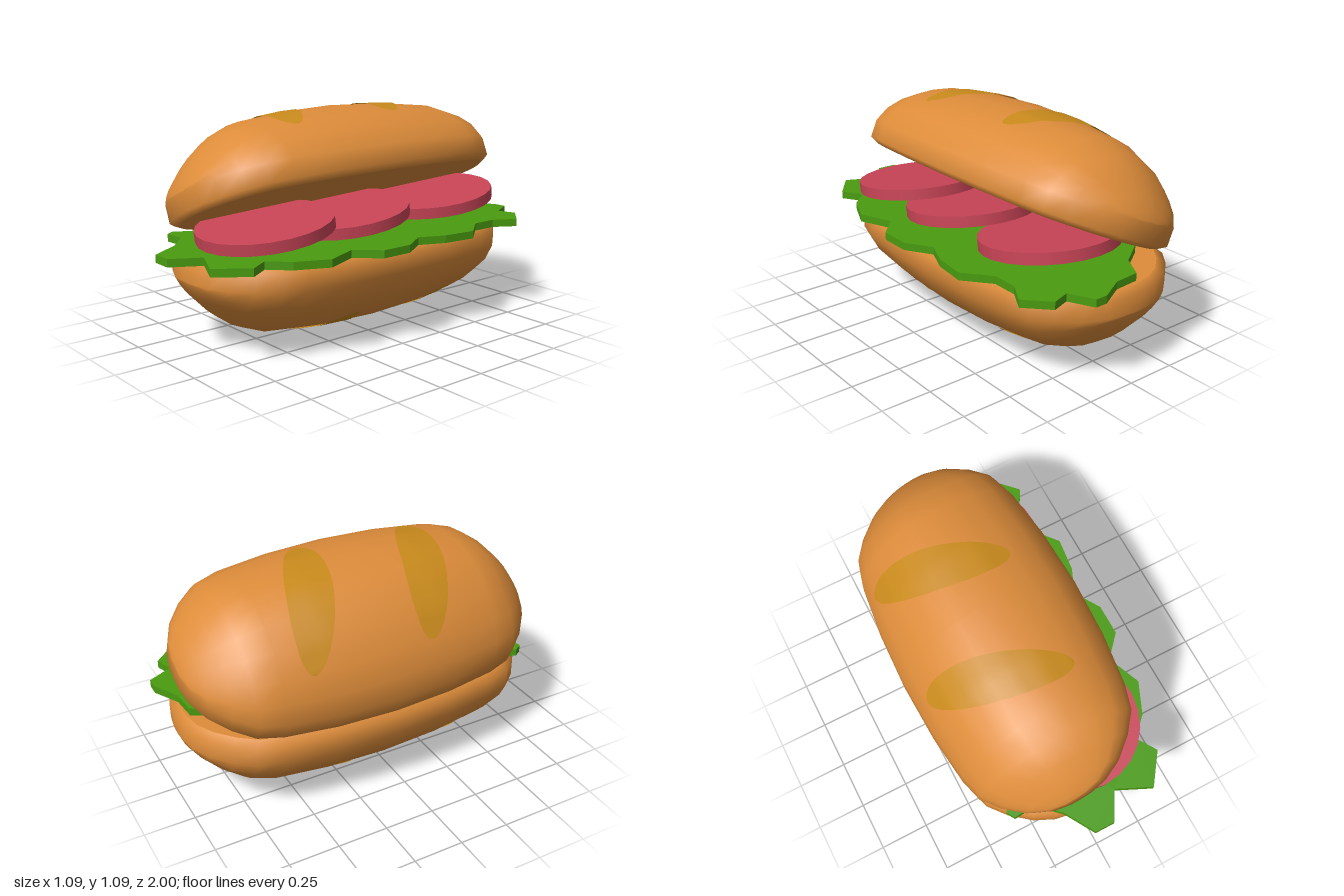
import * as THREE from 'three';
import { mergeVertices } from 'three/addons/utils/BufferGeometryUtils.js';

const mat = (name, color, side = THREE.FrontSide) => {
  const m = new THREE.MeshStandardMaterial({ color, side });
  m.name = name;
  return m;
};

// Half of the bun's cross-section: [x, height above the cut face]
const HALF = [[0.45, 0], [0.495, 0.025], [0.495, 0.115], [0.445, 0.22], [0.36, 0.31], [0.24, 0.39], [0.11, 0.437], [0, 0.452]];
const PROFILE = [...HALF, ...HALF.slice(0, -1).reverse().map(([x, y]) => [-x, y])];
// Sections along the bun: [z, width scale, height scale]
const ENDS = [[0, 1, 1], [0.3, 0.975, 0.965], [0.56, 0.91, 0.88], [0.68, 0.84, 0.74], [0.77, 0.69, 0.55],
  [0.85, 0.49, 0.31], [0.895, 0.29, 0.13], [0.91, 0.12, 0.02], [0.912, 0, 0]];
const SECTIONS = [...ENDS.slice(1).reverse().map(([z, a, b]) => [-z, a, b]), ...ENDS];
const BAND = 0.115; // straight rim keeps its height all the way round
const height = (d, s) => (d <= BAND ? d : BAND + (d - BAND) * s);

function meshGeometry(pos, idx) {
  let g = new THREE.BufferGeometry();
  g.setAttribute('position', new THREE.Float32BufferAttribute(pos, 3));
  g.setIndex(idx);
  g = mergeVertices(g, 1e-4);
  g.computeVertexNormals();
  return g;
}

// Joins rows of points into a surface
function gridIndex(rows, cols) {
  const idx = [];
  for (let i = 0; i < rows - 1; i++) {
    for (let j = 0; j < cols - 1; j++) {
      const a = i * cols + j, b = a + cols;
      idx.push(a, a + 1, b, a + 1, b + 1, b);
    }
  }
  return idx;
}

function crustGeometry() {
  const pos = [];
  for (const [z, sx, sd] of SECTIONS) {
    for (const [x, d] of PROFILE) pos.push(x * sx, height(d, sd), d === 0 ? z * 0.96 : z);
  }
  return meshGeometry(pos, gridIndex(SECTIONS.length, PROFILE.length));
}

function cutFaceGeometry() {
  const pos = [];
  for (const [z, sx] of SECTIONS) pos.push(-0.45 * sx, 0, z * 0.96, 0.45 * sx, 0, z * 0.96);
  return meshGeometry(pos, gridIndex(SECTIONS.length, 2));
}

// Height of the crust above the cut face at (x, z)
function crustHeight(x, z) {
  const az = Math.abs(z), ax = Math.abs(x);
  const i = ENDS.findIndex((e) => e[0] >= az) || 1;
  const [z0, a0, b0] = ENDS[i - 1], [z1, a1, b1] = ENDS[i];
  const t = (az - z0) / (z1 - z0);
  const px = ax / (a0 + (a1 - a0) * t);
  for (let k = HALF.length - 1; k > 2; k--) {
    const [xa, da] = HALF[k], [xb, db] = HALF[k - 1];
    if (px <= xb) return height(da + ((db - da) * (px - xa)) / (xb - xa), b0 + (b1 - b0) * t);
  }
  return BAND;
}

// Slanted oval toast mark lying just over the crust
function toastMarkGeometry(zc) {
  const pos = [], n = 24, m = 8;
  for (let i = 0; i <= m; i++) {
    for (let j = 0; j <= n; j++) {
      const u = -Math.cos((Math.PI * j) / n);
      const x = -0.35 * u;
      const z = zc + 0.3 * x + 0.115 * Math.sqrt(Math.max(0, 1 - u * u)) * ((2 * i) / m - 1);
      pos.push(x, crustHeight(x, z) + 0.006, z);
    }
  }
  return meshGeometry(pos, gridIndex(m + 1, n + 1));
}

export function createModel() {
  const bread = mat('bread', 0xdd8c3a);
  const toast = mat('toast', 0xc98a1c, THREE.DoubleSide);
  const green = mat('lettuce green', 0x4a9c10);
  const red = mat('salami red', 0xc84456);

  const model = new THREE.Group();
  model.name = 'sandwich';
  const add = (parent, name, geometry, material) => {
    const mesh = new THREE.Mesh(geometry, material);
    mesh.name = name;
    parent.add(mesh);
    return mesh;
  };

  // Two matching bun halves, the upper one tilted open
  for (const [name, x, y, turn] of [['lowerBun', -0.03, 0.455, Math.PI], ['upperBun', -0.05, 0.6375, 0.419]]) {
    const bun = new THREE.Group();
    bun.name = name;
    add(bun, 'crust', crustGeometry(), bread);
    add(bun, 'cutFace', cutFaceGeometry(), bread);
    for (const z of [-0.3, 0.3]) add(bun, 'toastMark', toastMarkGeometry(z), toast);
    bun.position.set(x, y, -0.06);
    bun.rotation.z = turn;
    model.add(bun);
  }

  // Jagged lettuce leaf, outline as [x, z]
  const leaf = [[0.18, -1], [0.24, -1], [0.3, -0.88], [0.39, -0.91], [0.495, -0.8], [0.43, -0.69], [0.43, -0.56],
    [0.535, -0.43], [0.515, -0.26], [0.46, -0.13], [0.54, 0], [0.54, 0.16], [0.44, 0.27], [0.51, 0.44], [0.44, 0.6],
    [0.35, 0.69], [0.415, 0.79], [0.305, 0.94], [0.13, 0.86], [0.05, 1], [-0.05, 1], [-0.14, 0.85], [-0.25, 0.75],
    [-0.36, 0.76], [-0.385, 0.72], [-0.3, 0.55], [-0.37, 0.4], [-0.29, 0.22], [-0.37, 0.05], [-0.29, -0.15],
    [-0.36, -0.35], [-0.27, -0.55], [-0.3, -0.7], [-0.15, -0.8], [-0.08, -0.92], [0.05, -0.93]];
  const shape = new THREE.Shape(leaf.map(([x, z]) => new THREE.Vector2(x, z)));
  const lettuce = add(model, 'lettuce', new THREE.ExtrudeGeometry(shape, { depth: 0.038, bevelEnabled: false }), green);
  lettuce.rotation.x = Math.PI / 2;
  lettuce.position.y = 0.495;

  // Overlapping salami slices, each leaning on the next
  for (const [x, y, z] of [[0.09, 0.575, 0.5], [0.1, 0.577, 0.04], [0.105, 0.595, -0.545]]) {
    const slice = add(model, 'salamiSlice', new THREE.CylinderGeometry(0.33, 0.33, 0.055, 24), red);
    slice.position.set(x, y, z);
    slice.rotation.x = 0.135;
  }
  return model;
}
